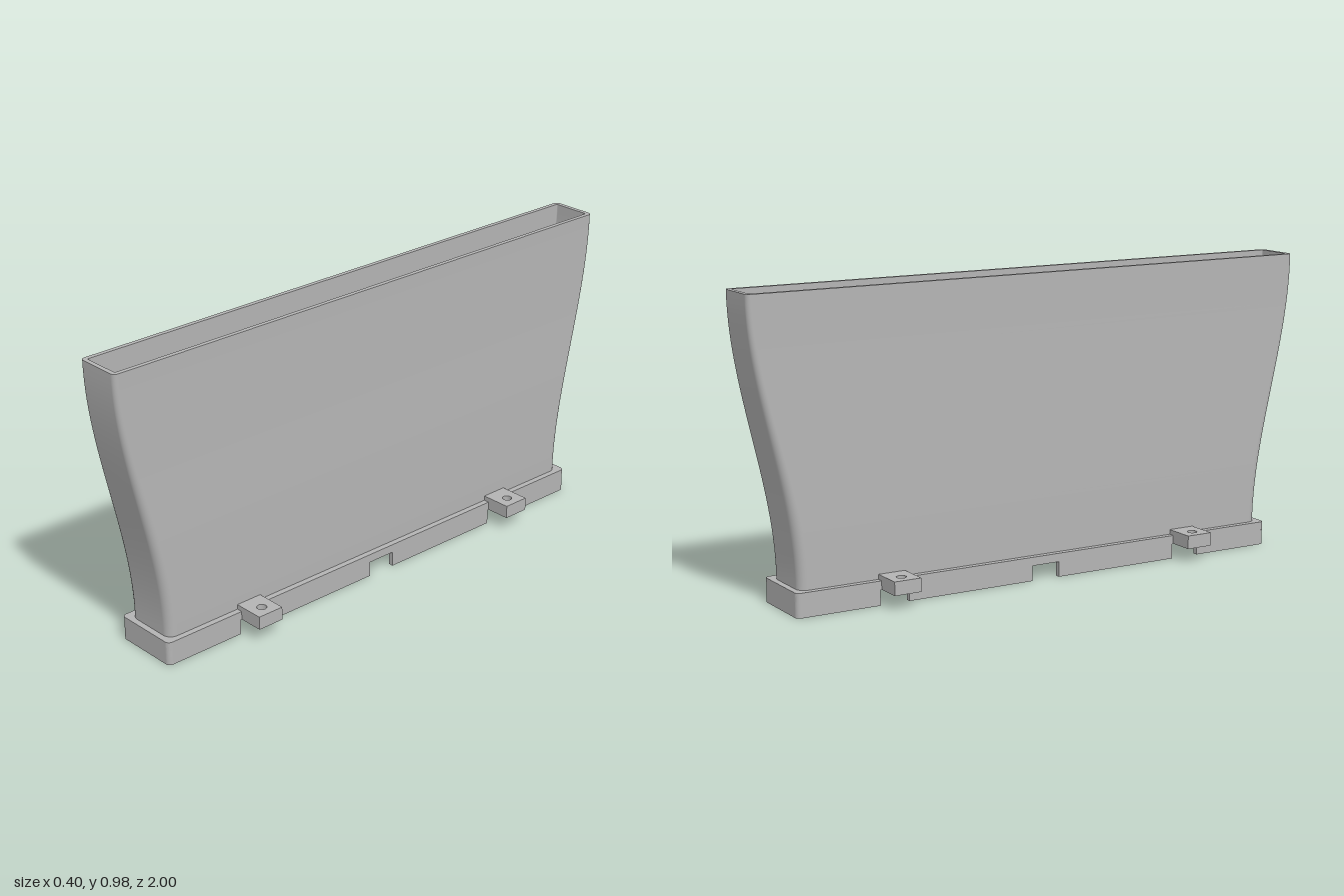
import * as THREE from 'three';

const grey = new THREE.MeshStandardMaterial({ color: 0xb4b4b4 });
grey.name = 'grey plastic';

const BASE_Y = 0.078, TOP_Y = 0.983, NOTCH_Y = 0.05, WALL = 0.015;

// Points of a rounded rectangle given by half sizes, as [x, z]
function roundedRing(hx, hz, r, n = 6) {
  const pts = [];
  [[1, 1], [-1, 1], [-1, -1], [1, -1]].forEach(([sx, sz], q) => {
    for (let i = 0; i <= n; i++) {
      const a = (q + i / n) * Math.PI / 2;
      pts.push([sx * (hx - r) + r * Math.cos(a), sz * (hz - r) + r * Math.sin(a)]);
    }
  });
  return pts;
}

// Surface through a list of { y, pts } rings
function loft(rings) {
  const n = rings[0].pts.length, pos = [], idx = [];
  rings.forEach(({ y, pts }) => pts.forEach(([x, z]) => pos.push(x, y, z)));
  for (let j = 0; j < rings.length - 1; j++) {
    for (let i = 0; i < n; i++) {
      const a = j * n + i, b = j * n + (i + 1) % n;
      idx.push(a, a + n, b, b, a + n, b + n);
    }
  }
  const g = new THREE.BufferGeometry();
  g.setAttribute('position', new THREE.Float32BufferAttribute(pos, 3));
  g.setIndex(idx);
  g.computeVertexNormals();
  return g;
}

// Ring of the duct wall at height fraction t, pushed in by inset
function ductRing(t, inset) {
  const s = t * t * (3 - 2 * t);
  const hx = THREE.MathUtils.lerp(0.095, 0.08, s);
  const hz = THREE.MathUtils.lerp(0.857, 1, s);
  const r = THREE.MathUtils.lerp(0.03, 0.016, s);
  return {
    y: THREE.MathUtils.lerp(BASE_Y, TOP_Y, t),
    pts: roundedRing(hx - inset, hz - inset, Math.max(r - inset, 0.004)),
  };
}

// Flat plan shape extruded upwards from y0 to y1
function slab(shape, y0, y1) {
  const g = new THREE.ExtrudeGeometry(shape, { depth: y1 - y0, bevelEnabled: false, curveSegments: 12 });
  return g.rotateX(-Math.PI / 2).translate(0, y0, 0);
}

const toVectors = (pts) => pts.map(([x, z]) => new THREE.Vector2(x, z));

export function createModel() {
  const model = new THREE.Group();
  model.name = 'ductNozzle';
  const add = (name, geometry, parent = model) => {
    const mesh = new THREE.Mesh(geometry, grey);
    mesh.name = name;
    parent.add(mesh);
    return mesh;
  };

  // Flared hollow duct: outside, rim and inside
  const steps = Array.from({ length: 29 }, (_, i) => i / 28);
  const duct = new THREE.Group();
  duct.name = 'duct';
  model.add(duct);
  add('ductOutside', loft(steps.map((t) => ductRing(t, 0))), duct);
  add('ductRim', loft([ductRing(1, 0), ductRing(1, WALL)]), duct);
  add('ductInside', loft(steps.map((t) => ductRing(1 - t, WALL))), duct);

  // Flange ring around the foot of the duct
  const HX = 0.115, HZ = 0.877, R = 0.016, T = 0.016;
  const flange = new THREE.Shape(toVectors(roundedRing(HX, HZ, R)));
  flange.holes.push(new THREE.Path(toVectors(ductRing(0, WALL).pts)));
  add('flange', slab(flange, NOTCH_Y, BASE_Y));

  // Skirt below the flange: U-shaped ends and side bars between the notches
  const cut = 0.595, ix = HX - T, iz = HZ - T;
  const end = new THREE.Shape();
  end.moveTo(HX, cut);
  end.lineTo(HX, HZ - R);
  end.absarc(HX - R, HZ - R, R, 0, Math.PI / 2, false);
  end.lineTo(-HX + R, HZ);
  end.absarc(-HX + R, HZ - R, R, Math.PI / 2, Math.PI, false);
  end.lineTo(-HX, cut);
  end.lineTo(-ix, cut);
  end.lineTo(-ix, iz);
  end.lineTo(ix, iz);
  end.lineTo(ix, cut);
  end.closePath();
  const endGeometry = slab(end, 0, NOTCH_Y);
  add('skirtBackEnd', endGeometry);
  add('skirtFrontEnd', endGeometry).rotation.y = Math.PI;

  const barGeometry = new THREE.BoxGeometry(T, NOTCH_Y, 0.445);

  // Mounting tab with a screw hole, pointing to +x
  const tab = new THREE.Shape();
  tab.moveTo(0.088, -0.046);
  tab.lineTo(0.2, -0.046);
  tab.lineTo(0.2, 0.046);
  tab.lineTo(0.088, 0.046);
  tab.closePath();
  const hole = new THREE.Path();
  hole.absarc(0.157, 0, 0.016, 0, Math.PI * 2, true);
  tab.holes.push(hole);
  const tabGeometry = slab(tab, NOTCH_Y, 0.094);

  for (const sx of [1, -1]) {
    for (const sz of [1, -1]) {
      const side = (sx > 0 ? 'Left' : 'Right') + (sz > 0 ? 'Front' : 'Back');
      add('skirtBar' + side, barGeometry).position.set(sx * (HX - T / 2), NOTCH_Y / 2, sz * 0.2725);
      const t = add('mountingTab' + side, tabGeometry);
      t.position.z = sz * 0.545;
      t.rotation.y = sx > 0 ? 0 : Math.PI;
    }
  }
  return model;
}
